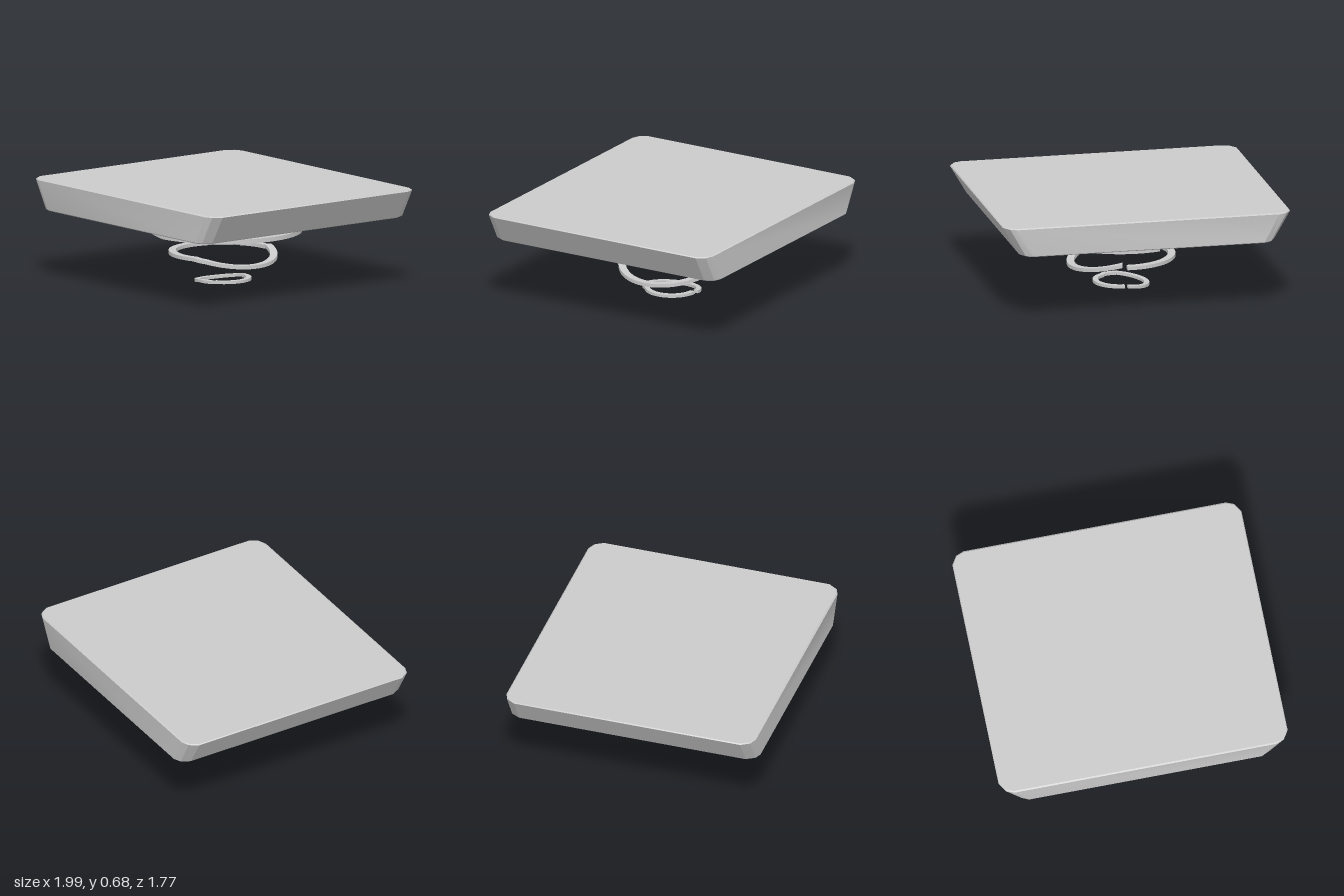
import * as THREE from 'three';
import { toCreasedNormals } from 'three/addons/utils/BufferGeometryUtils.js';

const material = new THREE.MeshStandardMaterial({ color: 0xcccccc });
const bandMaterial = new THREE.MeshStandardMaterial({ color: 0xcccccc, side: THREE.DoubleSide });

function part(name, geometry, mat = material) {
  const mesh = new THREE.Mesh(toCreasedNormals(geometry, 0.45), mat);
  mesh.name = name;
  return mesh;
}

// Slab with clipped corners, its two sides leaning inwards towards the bottom
function slab() {
  const corner = [[0.99, 0.8], [0.955, 0.855], [0.905, 0.875]];
  const flipped = [...corner].reverse();
  const points = [
    ...corner,
    ...flipped.map(([x, z]) => [-x, z]),
    ...corner.map(([x, z]) => [-x, -z]),
    ...flipped.map(([x, z]) => [x, -z]),
  ].map(([x, z]) => new THREE.Vector2(x, z));
  const geometry = new THREE.ExtrudeGeometry(new THREE.Shape(points), {
    depth: 0.19, bevelThickness: 0.007, bevelSize: 0.01, bevelSegments: 1,
  });
  geometry.rotateX(-Math.PI / 2).translate(0, 0.487, 0);
  const p = geometry.attributes.position;
  for (let i = 0; i < p.count; i++) {
    const t = (p.getY(i) - 0.48) / 0.204;
    p.setX(i, p.getX(i) * (0.88 + 0.12 * t));
  }
  return part('platformSlab', geometry);
}

// Flat band swept from one angle to another; height(x, angle) bends it out of plane
function brokenRing(name, outer, width, thick, from, to, height, reach = () => 1) {
  const steps = 56, position = [], index = [];
  for (let i = 0; i <= steps; i++) {
    const deg = from + (to - from) * i / steps;
    const a = THREE.MathUtils.degToRad(deg);
    const r = outer * reach(deg);
    const y = height(r * Math.cos(a), deg);
    for (const [dr, dy] of [[0, 0.5], [0, -0.5], [-width, -0.5], [-width, 0.5]]) {
      position.push((r + dr) * Math.cos(a), y + dy * thick, (r + dr) * Math.sin(a));
    }
    if (i < steps) {
      for (let k = 0; k < 4; k++) {
        const p = i * 4 + k, q = i * 4 + (k + 1) % 4;
        index.push(p, p + 4, q, q, p + 4, q + 4);
      }
    }
  }
  const e = steps * 4;
  index.push(0, 1, 2, 0, 2, 3, e, e + 2, e + 1, e, e + 3, e + 2);
  const geometry = new THREE.BufferGeometry();
  geometry.setAttribute('position', new THREE.Float32BufferAttribute(position, 3));
  geometry.setIndex(index);
  return part(name, geometry, bandMaterial);
}

export function createModel() {
  const model = new THREE.Group();
  model.name = 'hoveringPlatform';
  model.add(slab());

  // Bowl under the slab
  const profile = [[0, 0.293], [0.2, 0.295], [0.345, 0.35], [0.385, 0.38], [0.42, 0.45], [0.44, 0.473], [0.47, 0.483]]
    .map(([r, y]) => new THREE.Vector2(r, y));
  model.add(part('underBowl', new THREE.LatheGeometry(profile, 24)));

  // Large ring: flat half, a rise to a kink at the front, then a drop to one side
  model.add(brokenRing('largeRing', 0.53, 0.075, 0.03, -108, 236,
    (x, deg) => {
      if (deg < 90) return 0.375;
      return deg < 121 ? 0.375 - x * 0.18 : 0.425 + (x + 0.28) * 0.35;
    },
    (deg) => 1 + 0.05 * Math.max(0, 1 - Math.abs(deg - 120) / 40) + (deg > 150 ? 0.015 : 0)));

  // Middle ring: the left half slopes down, gap at the back
  model.add(brokenRing('middleRing', 0.375, 0.05, 0.025, -80, 275,
    (x, deg) => (deg < 72 ? 0.216 - (x - 0.12) * 0.225 : 0.216),
    (deg) => (deg < 60 ? 0.965 : 1)));

  // Small ring: the right half slopes down, gap at the back
  model.add(brokenRing('smallRing', 0.195, 0.035, 0.02, -88, 266,
    (x, deg) => (deg > 95 ? 0.034 + Math.min(0.004, (x + 0.02) * 0.13) : 0.034),
    (deg) => (deg < 60 ? 0.95 : 1.02)));

  // Stand exactly on the ground
  const box = new THREE.Box3().setFromObject(model);
  model.children.forEach((child) => { child.position.y -= box.min.y; });
  return model;
}
